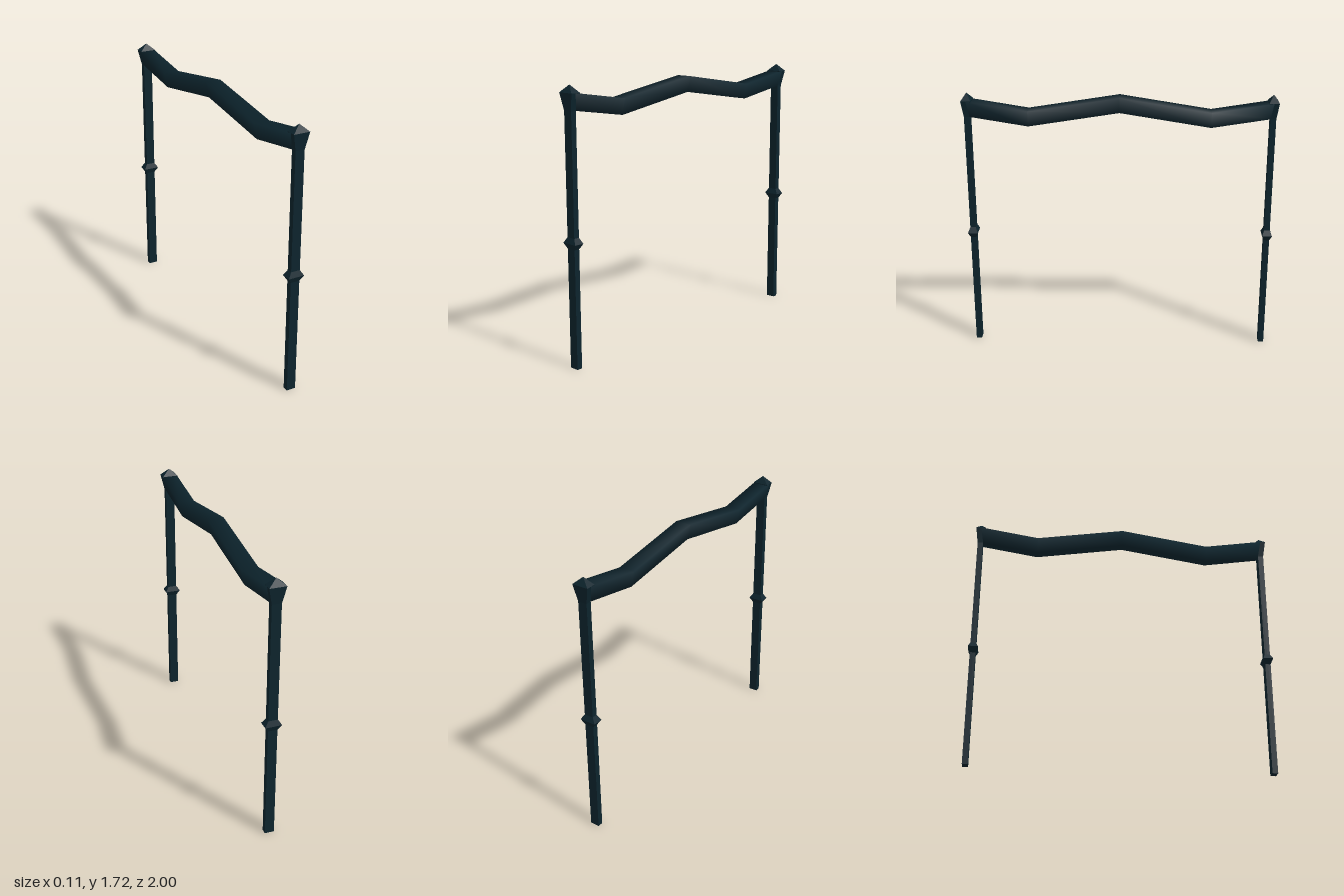
import * as THREE from 'three';

const POST_Z = 0.968;

// Four-sided faceted solid from [halfWidth, y] pairs listed bottom to top
function squareLathe(profile) {
  const points = profile.map(([r, y]) => new THREE.Vector2(r * Math.SQRT2, y));
  const indexed = new THREE.LatheGeometry(points, 4, Math.PI / 4);
  indexed.scale(1, 1, 0.605); // sections are narrower along z
  const geometry = indexed.toNonIndexed();
  geometry.computeVertexNormals();
  return geometry;
}

// Softly shaded trapezoid section swept through [z, topY] stations
function beamGeometry(stations) {
  const section = [[-0.053, 0], [0.053, 0], [0.03, -0.102], [-0.03, -0.102]];
  const positions = [];
  const index = [];
  for (const [z, y] of stations) {
    for (const [sx, sy] of section) positions.push(sx, y + sy, z);
  }
  for (let i = 0; i < stations.length - 1; i++) {
    for (let j = 0; j < 4; j++) {
      const a = i * 4 + j, b = i * 4 + (j + 1) % 4;
      index.push(a, a + 4, b, b, a + 4, b + 4);
    }
  }
  // End faces
  const e = (stations.length - 1) * 4;
  index.push(0, 1, 2, 0, 2, 3, e, e + 2, e + 1, e, e + 3, e + 2);
  const geometry = new THREE.BufferGeometry();
  geometry.setAttribute('position', new THREE.Float32BufferAttribute(positions, 3));
  geometry.setIndex(index);
  geometry.computeVertexNormals();
  return geometry;
}

export function createModel() {
  const model = new THREE.Group();
  model.name = 'archFrame';
  const darkTeal = new THREE.MeshStandardMaterial({ color: 0x0d242d });
  darkTeal.name = 'darkTeal';

  const add = (parent, name, geometry) => {
    const mesh = new THREE.Mesh(geometry, darkTeal);
    mesh.name = name;
    parent.add(mesh);
  };

  const shaft = squareLathe([[0, 0], [0.03, 0], [0.03, 1.6], [0, 1.6]]);
  const collar = squareLathe([[0, 0.75], [0.03, 0.75], [0.053, 0.785], [0.03, 0.82], [0, 0.82]]);
  const cap = squareLathe([[0, 1.57], [0.03, 1.57], [0.053, 1.675], [0, 1.721]]);

  // Matching posts at both ends
  for (const [name, side] of [['frontPost', 1], ['backPost', -1]]) {
    const post = new THREE.Group();
    post.name = name;
    post.position.z = side * POST_Z;
    add(post, 'shaft', shaft);
    add(post, 'collar', collar);
    add(post, 'cap', cap);
    model.add(post);
  }

  // Zigzag top beam
  add(model, 'beam', beamGeometry([
    [-POST_Z, 1.675], [-0.58, 1.613], [0, 1.705], [0.58, 1.613], [POST_Z, 1.675],
  ]));
  return model;
}
